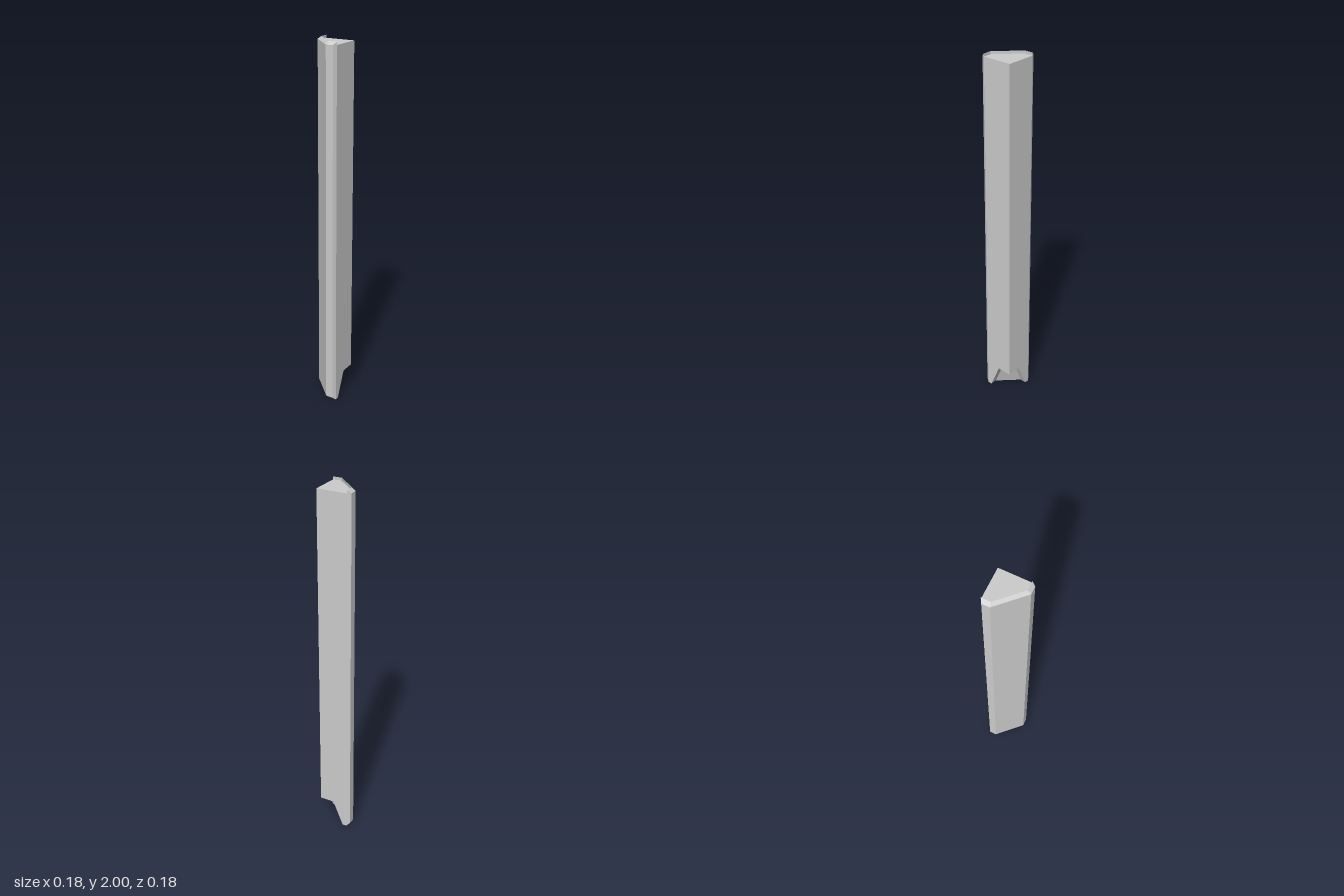
import * as THREE from 'three';

const S = 0.092;            // half width of the post
const TOP = 1.985;          // sunk cap level, below the raised lip
const NOTCH = 0.145;        // height of the notch at the foot

// Mirror across the diagonal through the square corner
const mirror = ([x, y, z]) => [-z, y, -x];

// Ring of six points: half is given, the other half mirrored
function ring(y, half) {
  const pts = half.map(([x, z]) => [x, y, z]);
  return [...pts, ...pts.map(mirror).reverse()];
}

export function createModel() {
  const positions = [];
  const tri = (...pts) => {
    const [a, b, c] = pts.map((p) => new THREE.Vector3(...p));
    if (new THREE.Triangle(a, b, c).getArea() > 1e-9) positions.push(...pts.flat());
  };
  const quad = (a, b, c, d) => { tri(a, b, c); tri(a, c, d); };

  // Half outlines, from the side face to the diagonal front
  const corner = [[S, -S], [S, -S], [S, -S]];
  const outer = [[S, 0.073], [0.081, S], [0.04, S]];
  const inner = [[S, 0.073], [S, 0.073], [0.044, 0.073]];
  const notchFoot = [[S, 0.05], [S, 0.05], [0.055, 0.05]];
  const notchRoof = [[S, -0.01], [S, -0.01], [0.055, -0.01]];

  // Sunk cap, raised lip, front walls, foot bevel, sole, notch walls, notch roof
  const rings = [
    ring(TOP, corner), ring(TOP, inner), ring(2, inner), ring(TOP, outer),
    ring(0.018, outer), ring(0, inner), ring(0, notchFoot),
    ring(NOTCH, notchRoof), ring(NOTCH, corner),
  ];
  for (let r = 0; r < rings.length - 1; r++) {
    const a = rings[r], b = rings[r + 1];
    for (let i = 0; i < 5; i++) quad(a[i], a[i + 1], b[i + 1], b[i]);
  }

  // Flat side and back faces, cut away at the notch
  const faces = [
    [[S, NOTCH, 0.073], [S, NOTCH, -S], [S, TOP, -S], [S, TOP, 0.073]],
    [[S, 0, 0.073], [S, 0, 0.05], [S, NOTCH, -0.01], [S, NOTCH, 0.073]],
  ];
  for (const f of faces) {
    quad(...f);
    quad(...f.map(mirror).reverse());
  }

  const geometry = new THREE.BufferGeometry();
  geometry.setAttribute('position', new THREE.Float32BufferAttribute(positions, 3));
  geometry.computeVertexNormals();

  const post = new THREE.Mesh(
    geometry,
    new THREE.MeshStandardMaterial({ color: 0xcccccc, flatShading: true, side: THREE.DoubleSide }),
  );
  post.name = 'cornerPost';

  const group = new THREE.Group();
  group.name = 'cornerTrim';
  group.add(post);
  return group;
}
